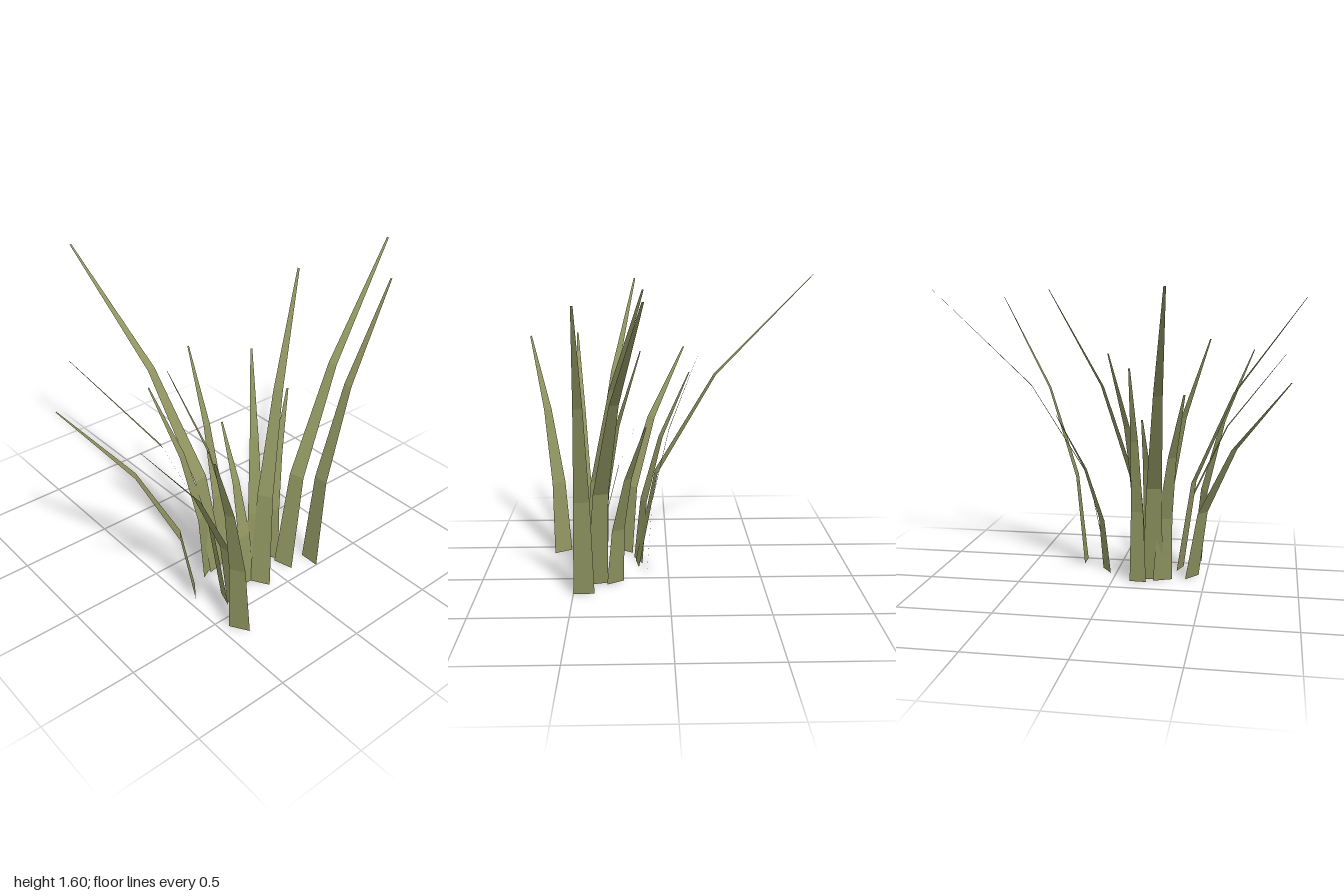
import * as THREE from 'three';

const SEGMENTS = 3;

// One flat, tapering blade that bends outward: height grows evenly, reach with its square.
function bladeGeometry(baseX, baseZ, tipX, tipZ, height, width) {
  const dx = tipX - baseX, dz = tipZ - baseZ;
  const reach = Math.hypot(dx, dz);
  const sideX = -dz / reach, sideZ = dx / reach;
  const positions = [], index = [];
  for (let i = 0; i <= SEGMENTS; i++) {
    const t = i / SEGMENTS;
    const half = (width / 2) * (1 - 0.9 * Math.pow(t, 1.15));
    for (const s of [-1, 1]) {
      positions.push(
        baseX + dx * t * t + s * sideX * half,
        height * t,
        baseZ + dz * t * t + s * sideZ * half
      );
    }
    if (i < SEGMENTS) {
      const a = i * 2;
      index.push(a, a + 2, a + 1, a + 1, a + 2, a + 3);
    }
  }
  const geometry = new THREE.BufferGeometry();
  geometry.setAttribute('position', new THREE.Float32BufferAttribute(positions, 3));
  geometry.setIndex(index);
  geometry.computeVertexNormals();
  return geometry;
}

export function createModel() {
  const group = new THREE.Group();
  group.name = 'grassTuft';
  const material = new THREE.MeshStandardMaterial({
    color: 0x8f9460, flatShading: true, side: THREE.DoubleSide,
  });

  // base x, base z, tip x, tip z, height, base width
  const blades = [
    // blades leaning back
    [-0.215, 0.17, -0.38, -0.80, 1.60, 0.11],
    [-0.27, 0.165, -0.405, -0.125, 1.06, 0.11],
    [-0.14, 0.115, -0.13, -0.155, 1.19, 0.09],
    [-0.175, 0.365, -0.155, 0.14, 0.89, 0.095],
    // blades leaning to the right
    [-0.425, 0.245, -0.93, -0.115, 1.13, 0.115],
    [-0.345, 0.39, -1.0, 0.18, 1.54, 0.1],
    [-0.34, 0.465, -0.905, 0.525, 1.22, 0.11],
    [-0.425, 0.60, -0.725, 0.785, 1.225, 0.11],
    [-0.245, 0.38, -0.51, 0.185, 1.32, 0.11],
    // blades leaning to the left
    [-0.12, 0.37, 0.03, 0.145, 1.24, 0.1],
    [-0.12, 0.41, 0.345, 0.13, 1.575, 0.11],
    [0.06, 0.285, 0.31, 0.12, 0.905, 0.105],
    [0.075, 0.38, 0.995, 0.13, 1.575, 0.11],
    [0.21, 0.445, 0.68, 0.44, 1.53, 0.11],
  ];
  blades.forEach((blade, i) => {
    const mesh = new THREE.Mesh(bladeGeometry(...blade), material);
    mesh.name = `grassBlade${i + 1}`;
    group.add(mesh);
  });
  return group;
}
